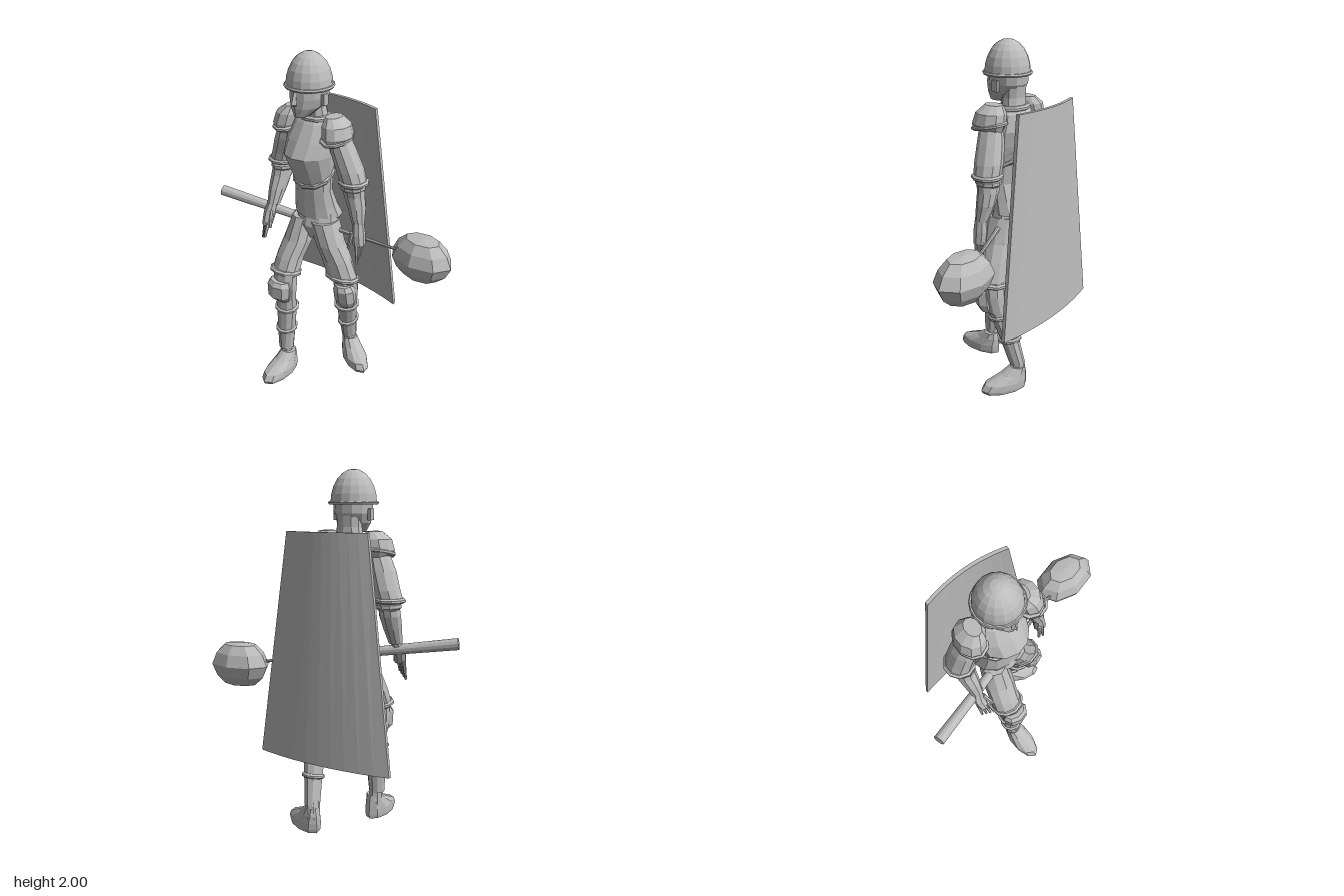
import * as THREE from 'three';

const steel = new THREE.MeshStandardMaterial({ color: 0xbcbcbc });
steel.name = 'steelGrey';

export function createModel() {
  const root = new THREE.Group();
  root.name = 'armouredFigure';

  function add(name, geometry, parent = root) {
    const flat = geometry.index ? geometry.toNonIndexed() : geometry;
    flat.computeVertexNormals();
    const mesh = new THREE.Mesh(flat, steel);
    mesh.name = name;
    parent.add(mesh);
    return mesh;
  }

  // Stack of rings, top to bottom: [xMin, xMax, y, zBack, zFront, frontDip]
  function stack(name, rings, sides = 10, parent = root) {
    const last = rings.length - 1;
    const g = new THREE.CylinderGeometry(1, 1, 1, sides, last);
    const p = g.attributes.position;
    for (let i = 0; i < p.count; i++) {
      const [x0, x1, y, z0, z1, dip = 0] = rings[Math.round((0.5 - p.getY(i)) * last)];
      const u = p.getX(i), w = p.getZ(i);
      p.setXYZ(i, (x0 + x1) / 2 + u * (x1 - x0) / 2, y - dip * w, (z0 + z1) / 2 + w * (z1 - z0) / 2);
    }
    return add(name, g, parent);
  }

  // Raised trim band around a ring
  function band(name, [x0, x1, y, z0, z1, dip = 0], h = 0.022) {
    const e = 0.012;
    const big = t => [x0 - e, x1 + e, y + t, z0 - e, z1 + e, dip];
    stack(name, [[x0, x1, y + h, z0, z1, dip], big(h * 0.4), big(-h * 0.4), [x0, x1, y - h, z0, z1, dip]]);
  }

  // Tapered rod between two points
  function rod(name, a, b, ra, rb, sides = 8) {
    const A = new THREE.Vector3(...a), B = new THREE.Vector3(...b);
    const d = B.clone().sub(A);
    const mesh = add(name, new THREE.CylinderGeometry(rb, ra, d.length(), sides));
    mesh.position.copy(A).add(B).multiplyScalar(0.5);
    mesh.quaternion.setFromUnitVectors(new THREE.Vector3(0, 1, 0), d.normalize());
  }

  // Head and neck
  stack('head', [[-0.235, -0.025, 1.84, -0.14, 0.09], [-0.23, -0.03, 1.77, -0.135, 0.095],
    [-0.21, -0.05, 1.72, -0.1, 0.095], [-0.165, -0.095, 1.67, -0.02, 0.088]], 12);
  stack('neck', [[-0.2, -0.06, 1.78, -0.13, 0], [-0.2, -0.06, 1.7, -0.122, 0], [-0.215, -0.045, 1.62, -0.13, 0]]);
  stack('nose', [[-0.137, -0.123, 1.81, 0.08, 0.1], [-0.147, -0.113, 1.745, 0.08, 0.12],
    [-0.14, -0.12, 1.735, 0.08, 0.1]], 4);
  for (const s of [-1, 1]) {
    const ear = add('ear', new THREE.BoxGeometry(0.02, 0.06, 0.035));
    ear.position.set(-0.13 + s * 0.105, 1.765, -0.02);
  }

  // Helmet
  const dome = [];
  for (let i = 0; i <= 6; i++) {
    const a = i / 6 * Math.PI / 2;
    dome.push(new THREE.Vector2(Math.max(0.125 * Math.cos(a), 0.0001), 0.175 * Math.sin(a)));
  }
  const helmet = add('helmetDome', new THREE.LatheGeometry(dome, 16));
  helmet.position.set(-0.13, 1.825, -0.02);
  const rim = add('helmetRim', new THREE.TorusGeometry(0.126, 0.01, 6, 20));
  rim.rotation.x = Math.PI / 2;
  rim.position.set(-0.13, 1.825, -0.02);

  // Torso
  stack('breastplate', [[-0.2, -0.06, 1.66, -0.12, 0], [-0.25, -0.01, 1.62, -0.15, 0.03],
    [-0.28, 0.02, 1.53, -0.175, 0.085], [-0.275, 0.015, 1.45, -0.175, 0.13],
    [-0.265, 0.005, 1.38, -0.155, 0.085, 0.03], [-0.255, -0.005, 1.32, -0.135, 0.045, 0.06]], 12);
  band('breastplateTrim', [-0.255, -0.005, 1.32, -0.135, 0.045, 0.06], 0.018);
  stack('fauld', [[-0.25, -0.005, 1.34, -0.13, 0.03], [-0.25, -0.005, 1.23, -0.12, 0.035],
    [-0.262, 0.008, 1.13, -0.165, 0.035], [-0.275, 0.02, 1.06, -0.21, 0.035]], 12);
  band('collar', [-0.225, -0.035, 1.645, -0.135, 0.012], 0.015);
  stack('pelvis', [[-0.25, 0.01, 1.09, -0.15, 0.02], [-0.255, 0.025, 1.01, -0.17, 0.045],
    [-0.16, -0.03, 0.93, -0.11, 0.02]]);

  // Shoulder plates, mirrored about the body axis
  const pauldron = [[-0.31, -0.23, 1.68, -0.1, 0.01], [-0.365, -0.215, 1.64, -0.13, 0.045],
    [-0.38, -0.225, 1.58, -0.135, 0.06], [-0.36, -0.245, 1.55, -0.125, 0.055]];
  const flip = ([x0, x1, ...rest]) => [-0.25 - x1, -0.25 - x0, ...rest];
  stack('rightPauldron', pauldron);
  band('rightPauldronTrim', [-0.37, -0.225, 1.57, -0.13, 0.055, 0.02], 0.014);
  stack('leftPauldron', pauldron.map(flip));
  band('leftPauldronTrim', flip([-0.37, -0.225, 1.57, -0.13, 0.055, 0.02]), 0.014);

  // Arms
  const arms = {
    right: {
      upper: [[-0.34, -0.24, 1.6, -0.11, 0.02], [-0.4, -0.25, 1.48, -0.13, 0.025],
        [-0.43, -0.285, 1.38, -0.14, 0.02], [-0.448, -0.3, 1.325, -0.135, 0.02]],
      elbow: [-0.42, -0.31, 1.295, -0.115, 0.015],
      fore: [[-0.42, -0.31, 1.33, -0.12, 0.01], [-0.425, -0.31, 1.24, -0.1, 0.03],
        [-0.415, -0.315, 1.17, -0.06, 0.06], [-0.4, -0.325, 1.08, 0, 0.085]],
      palm: [[-0.39, -0.335, 1.1, 0.01, 0.075], [-0.41, -0.335, 1.03, 0.03, 0.105], [-0.395, -0.335, 0.96, 0.07, 0.135]],
      knuckle: i => [-0.39 + i * 0.017, 0.975, 0.09 + i * 0.012],
      tip: i => [-0.39 + i * 0.019, 0.865 + i * 0.012, 0.12 + i * 0.013],
      thumb: [[-0.345, 1.04, 0.08], [-0.315, 0.96, 0.13]],
    },
    left: {
      upper: [[-0.01, 0.09, 1.6, -0.11, 0.02], [0, 0.14, 1.49, -0.14, 0.01],
        [0.03, 0.18, 1.39, -0.16, 0], [0.05, 0.2, 1.32, -0.16, -0.01]],
      elbow: [0.06, 0.18, 1.29, -0.15, -0.03],
      fore: [[0.06, 0.185, 1.33, -0.15, -0.02], [0.065, 0.19, 1.24, -0.15, -0.035],
        [0.095, 0.2, 1.17, -0.145, -0.04], [0.13, 0.205, 1.08, -0.115, -0.045]],
      palm: [[0.14, 0.2, 1.1, -0.11, -0.045], [0.14, 0.21, 1.02, -0.12, -0.035], [0.145, 0.215, 0.95, -0.115, -0.04]],
      knuckle: i => [0.18, 0.965, -0.055 - i * 0.017],
      tip: i => [0.19 - i * 0.006, 0.835 + i * 0.012, -0.05 - i * 0.017],
      thumb: [[0.155, 1.03, -0.045], [0.14, 0.93, -0.03]],
    },
  };
  for (const [side, a] of Object.entries(arms)) {
    stack(side + 'Sleeve', a.upper);
    band(side + 'SleeveTrim', a.upper[3], 0.014);
    band(side + 'ElbowTrim', a.elbow);
    stack(side + 'Forearm', a.fore);
    stack(side + 'Palm', a.palm, 8);
    for (let i = 0; i < 4; i++) rod(side + 'Finger', a.knuckle(i), a.tip(i), 0.012, 0.007, 6);
    rod(side + 'Thumb', ...a.thumb, 0.014, 0.008, 6);
  }

  // Legs: the right steps forward, the left trails
  const legs = {
    right: {
      thigh: [[-0.26, -0.115, 1.04, -0.13, 0.045], [-0.285, -0.11, 0.9, -0.07, 0.1],
        [-0.295, -0.125, 0.8, -0.01, 0.155], [-0.3, -0.125, 0.71, 0.04, 0.19]],
      knee: [[-0.28, -0.125, 0.72, 0.06, 0.19], [-0.28, -0.125, 0.62, 0.07, 0.2], [-0.27, -0.135, 0.53, 0.08, 0.18]],
      cop: [[-0.27, -0.14, 0.67, 0.13, 0.22], [-0.285, -0.125, 0.645, 0.12, 0.24],
        [-0.28, -0.13, 0.57, 0.125, 0.24], [-0.25, -0.15, 0.53, 0.13, 0.2]],
      shin: [[-0.27, -0.135, 0.55, 0.08, 0.175], [-0.27, -0.135, 0.46, 0.07, 0.18],
        [-0.26, -0.145, 0.31, 0.08, 0.185], [-0.25, -0.16, 0.16, 0.09, 0.185]],
      ankle: [[-0.24, -0.165, 0.18, 0.095, 0.175], [-0.24, -0.165, 0.08, 0.09, 0.18]],
      foot: [-0.19, 0.13, 0.03],
    },
    left: {
      thigh: [[-0.135, 0.025, 1.04, -0.145, 0.04], [-0.1, 0.07, 0.9, -0.145, 0.03],
        [-0.07, 0.115, 0.8, -0.155, 0.01], [-0.045, 0.155, 0.68, -0.165, -0.005]],
      knee: [[0, 0.15, 0.69, -0.16, -0.01], [0.01, 0.15, 0.61, -0.17, -0.02], [0, 0.135, 0.5, -0.18, -0.05]],
      cop: [[0.045, 0.15, 0.66, -0.1, 0.005], [0.035, 0.17, 0.63, -0.11, 0.015],
        [0.035, 0.17, 0.55, -0.12, 0], [0.06, 0.15, 0.505, -0.12, -0.03]],
      shin: [[0.005, 0.135, 0.53, -0.175, -0.05], [-0.012, 0.122, 0.46, -0.19, -0.07],
        [-0.02, 0.085, 0.31, -0.235, -0.12], [-0.03, 0.055, 0.16, -0.268, -0.165]],
      ankle: [[-0.028, 0.05, 0.18, -0.262, -0.17], [-0.035, 0.05, 0.08, -0.272, -0.18]],
      foot: [0.01, -0.225, 1.08],
    },
  };
  const footRings = [[-0.045, 0.045, 0.14, -0.04, 0.05], [-0.055, 0.055, 0.1, -0.05, 0.11],
    [-0.068, 0.068, 0.055, -0.055, 0.215], [-0.068, 0.068, 0.02, -0.055, 0.238], [-0.064, 0.064, 0, -0.05, 0.228]];
  for (const [side, l] of Object.entries(legs)) {
    stack(side + 'Thigh', l.thigh);
    band(side + 'ThighTrim', [...l.thigh[3], -0.015], 0.016);
    stack(side + 'Knee', l.knee);
    stack(side + 'KneePlate', l.cop, 8);
    stack(side + 'Greave', l.shin);
    band(side + 'GreaveTrim', [...l.shin[1], 0.015], 0.014);
    band(side + 'GreaveTrim', [...l.shin[2], 0.015], 0.014);
    stack(side + 'Ankle', l.ankle, 8);
    const foot = stack(side + 'Foot', footRings);
    foot.position.set(l.foot[0], 0, l.foot[1]);
    foot.rotation.y = l.foot[2];
  }

  // Curved, tapering shield on the back
  const shield = new THREE.BoxGeometry(2, 1, 1, 10, 1, 1);
  const sp = shield.attributes.position;
  for (let i = 0; i < sp.count; i++) {
    const u = sp.getX(i), t = 0.5 - sp.getY(i);
    const half = 0.245 + 0.16 * t;
    sp.setXYZ(i, -0.125 + u * half, 1.68 - 1.22 * t,
      -0.31 - 0.05 * t + (0.035 + 0.01 * t) * u * u + sp.getZ(i) * 0.02);
  }
  add('shield', shield);

  // Mace
  const along = x => [x, 1.09 - 0.148 * (x + 0.68), 0.147 - 0.325 * (x + 0.68)];
  rod('maceGrip', along(-0.685), along(-0.24), 0.032, 0.026, 12);
  rod('maceShaft', along(-0.24), along(0.45), 0.018, 0.007);
  const profile = [[0.0001, -0.125], [0.105, -0.115], [0.16, -0.066], [0.192, 0],
    [0.16, 0.066], [0.105, 0.115], [0.0001, 0.125]].map(p => new THREE.Vector2(...p));
  const maceHead = add('maceHead', new THREE.LatheGeometry(profile, 8).scale(1, 1, 0.66));
  maceHead.position.set(0.498, 0.915, -0.235);

  return root;
}
